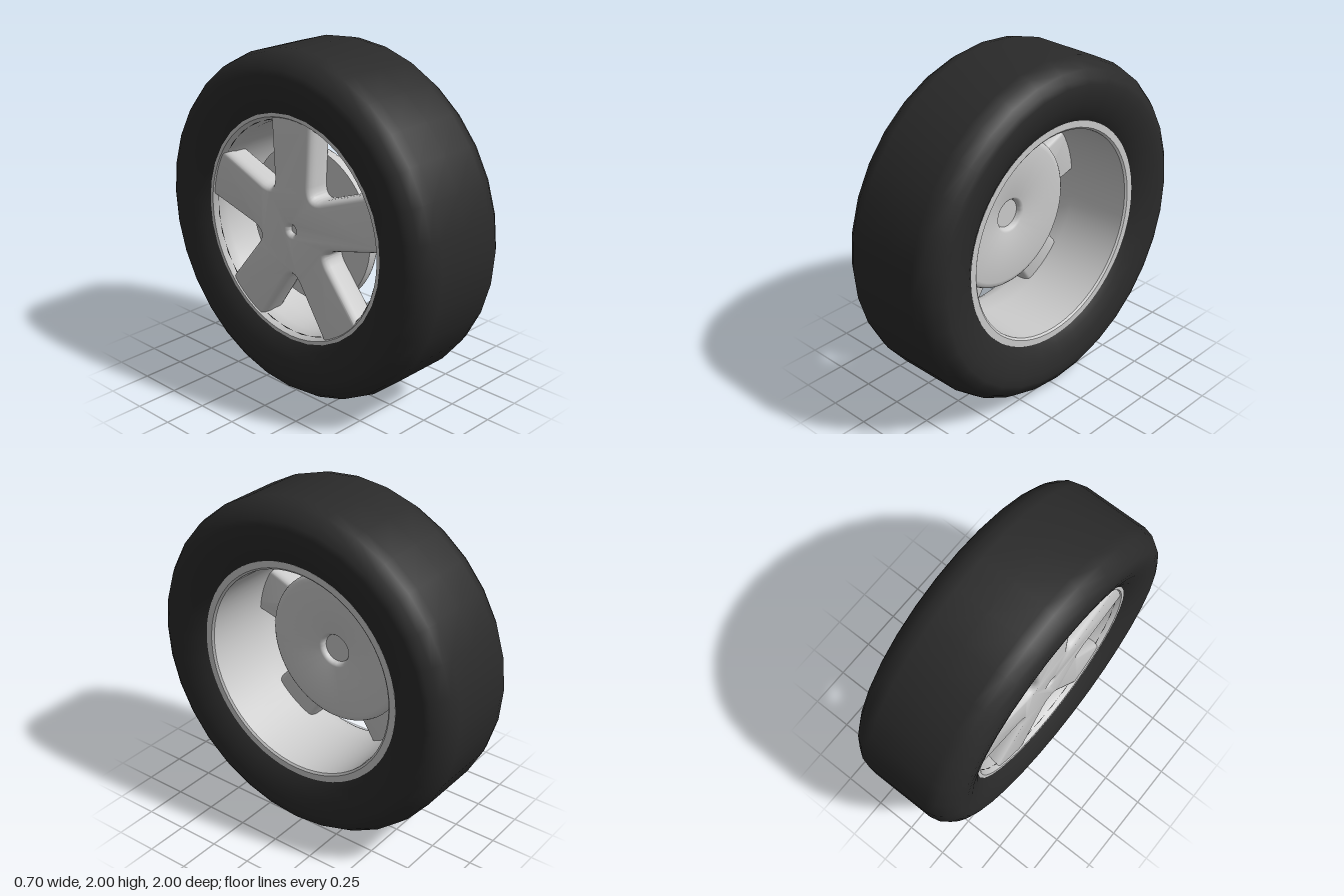
import * as THREE from 'three';
import { toCreasedNormals } from 'three/addons/utils/BufferGeometryUtils.js';

const AXLE_Y = 1;
const rubber = new THREE.MeshStandardMaterial({ color: 0x2a2a2a });
const metal = new THREE.MeshStandardMaterial({ color: 0xcccccc });

// Revolve [x, radius] points about the axle (the x axis); outer surfaces run towards +x
function revolve(name, profile, segments, material, crease) {
  const points = profile.map(([x, r]) => new THREE.Vector2(r, x));
  let geometry = new THREE.LatheGeometry(points, segments);
  geometry.rotateZ(-Math.PI / 2);
  if (crease) geometry = toCreasedNormals(geometry, crease);
  const mesh = new THREE.Mesh(geometry, material);
  mesh.name = name;
  return mesh;
}

// Five-armed outline with filleted inner corners
function spokeOutline() {
  const shape = new THREE.Shape();
  const count = 5, tip = 0.655, root = 0.28;
  for (let i = 0; i < count; i++) {
    const a = Math.PI / 2 + (i * 2 * Math.PI) / count;
    const at = (along, side) => [
      along * Math.cos(a) - side * Math.sin(a),
      along * Math.sin(a) + side * Math.cos(a),
    ];
    if (i === 0) shape.moveTo(...at(root, -0.11));
    shape.lineTo(...at(tip, -0.13));
    shape.lineTo(...at(tip, 0.13));
    shape.lineTo(...at(root, 0.11));
    // fillet across to the next arm
    const mid = a + Math.PI / count, next = a + (2 * Math.PI) / count;
    shape.quadraticCurveTo(
      0.19 * Math.cos(mid), 0.19 * Math.sin(mid),
      root * Math.cos(next) + 0.11 * Math.sin(next),
      root * Math.sin(next) - 0.11 * Math.cos(next)
    );
  }
  const hole = new THREE.Path();
  hole.absarc(0, 0, 0.05, 0, Math.PI * 2, true);
  shape.holes.push(hole);
  return shape;
}

export function createModel() {
  const wheel = new THREE.Group();
  wheel.name = 'wheel';

  // Tyre: half section mirrored, bead to tread
  const half = [
    [0.26, 0.62], [0.285, 0.655], [0.315, 0.7], [0.34, 0.77], [0.35, 0.83],
    [0.35, 0.88], [0.338, 0.91], [0.31, 0.95], [0.26, 0.985], [0.2, 1],
  ];
  const tyre = [...half.map(([x, r]) => [-x, r]), [0, 1], ...half.slice().reverse()];
  wheel.add(revolve('tyre', tyre, 32, rubber));

  // Rim: closed section with a thin outer lip and a wide inner lip
  const rim = [
    [-0.275, 0.667], [0.28, 0.667], [0.29, 0.66], [0.29, 0.622], [0.28, 0.61],
    [-0.1, 0.603], [-0.21, 0.605], [-0.26, 0.62], [-0.288, 0.638], [-0.288, 0.66], [-0.275, 0.667],
  ];
  wheel.add(revolve('rim', rim, 64, metal, 0.6));

  // Hub disc: boss on the outer side, dished centre on the inner side
  const disc = [
    [-0.25, 0], [-0.25, 0.085], [-0.135, 0.085], [-0.135, 0.455], [-0.085, 0.455],
    [-0.07, 0.448], [-0.06, 0.435], [-0.056, 0.415], [-0.056, 0.108],
    [-0.061, 0.096], [-0.071, 0.089], [-0.088, 0.084], [-0.088, 0],
  ];
  wheel.add(revolve('hubDisc', disc, 64, metal, 0.6));

  // Spokes: one star with rounded edges, facing outwards to -x
  const bevel = 0.055;
  let star = new THREE.ExtrudeGeometry(spokeOutline(), {
    depth: 0.05, bevelThickness: bevel, bevelSize: 0.03, bevelSegments: 4, curveSegments: 16,
  });
  star.rotateY(Math.PI / 2);
  star.translate(-0.28 + bevel, 0, 0);
  star = toCreasedNormals(star, 0.6);
  const spokes = new THREE.Mesh(star, metal);
  spokes.name = 'spokes';
  wheel.add(spokes);

  wheel.position.y = AXLE_Y;
  const model = new THREE.Group();
  model.name = 'wheelModel';
  model.add(wheel);
  return model;
}
